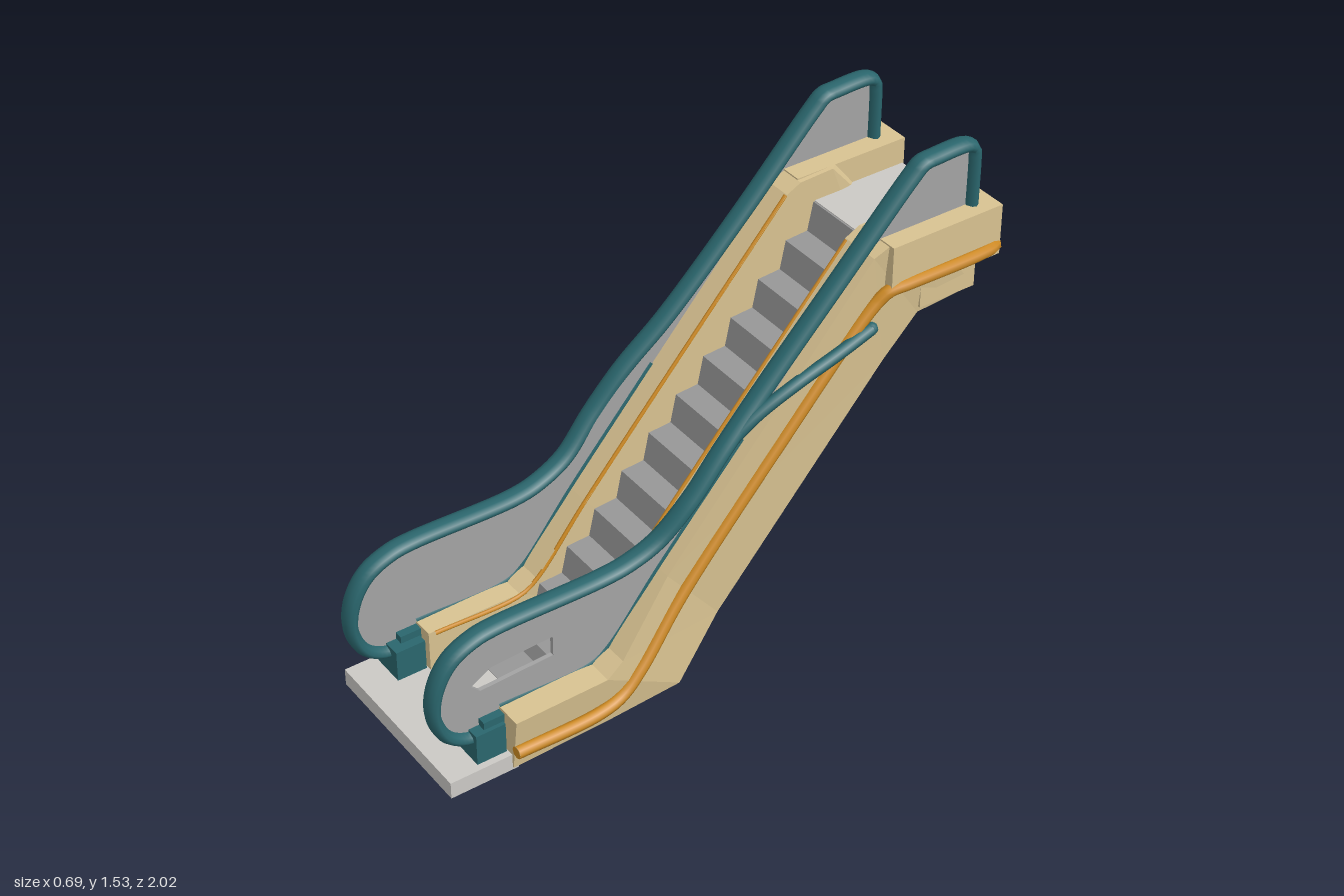
import * as THREE from 'three';

const mat = (name, color, extra = {}) => new THREE.MeshStandardMaterial({ name, color, ...extra });

export function createModel() {
  const root = new THREE.Group();
  root.name = 'escalator';
  const cream = mat('cream', 0xd8c291, { flatShading: true, side: THREE.DoubleSide });
  const orange = mat('orange', 0xce8a22);
  const teal = mat('teal', 0x2a666d);
  const stepGrey = mat('stepGrey', 0x979797, { flatShading: true });
  const panelGrey = mat('panelGrey', 0xa3a3a3);
  const paleGrey = mat('paleGrey', 0xcbc9c5);

  const add = (name, geo, material) => {
    const m = new THREE.Mesh(geo, material);
    m.name = name;
    root.add(m);
    return m;
  };
  // Box given by its min and max corners
  const box = (name, material, x0, x1, y0, y1, z0, z1) => {
    const m = add(name, new THREE.BoxGeometry(x1 - x0, y1 - y0, z1 - z0), material);
    m.position.set((x0 + x1) / 2, (y0 + y1) / 2, (z0 + z1) / 2);
    return m;
  };
  // Side outline of [z, y] points extruded across x, centred on x = 0
  const sideExtrude = (pts, width, holes = []) => {
    const toVec = (p) => new THREE.Vector2(p[0], p[1]);
    const shape = new THREE.Shape(pts.map(toVec));
    holes.forEach((h) => shape.holes.push(new THREE.Path(h.map(toVec))));
    const g = new THREE.ExtrudeGeometry(shape, { depth: width, bevelEnabled: false });
    return g.rotateY(-Math.PI / 2).translate(width / 2, 0, 0);
  };
  // Smooth tube through [x, y, z] points with closed ends
  const tube = (pts, r, segs, sides) => {
    const curve = new THREE.CatmullRomCurve3(pts.map((p) => new THREE.Vector3(...p)), false, 'centripetal');
    return new THREE.TubeGeometry(curve, segs, r, sides);
  };

  // Trough body: U-shaped sections [zTop, yTop, zBottom, yBottom, halfWidth, innerHalfWidth]
  const sections = [
    [0.76, 0.20, 0.76, 0.01, 0.33, 0.15],
    [0.44, 0.20, 0.42, 0.015, 0.325, 0.15],
    [0.38, 0.235, 0.16, 0.02, 0.315, 0.145],
    [0.20, 0.45, 0.00, 0.20, 0.285, 0.14],
    [-0.53, 1.27, -0.60, 0.87, 0.275, 0.14],
    [-0.58, 1.295, -0.72, 1.00, 0.28, 0.14],
    [-0.70, 1.30, -0.80, 1.01, 0.285, 0.14],
    [-0.72, 1.30, -0.925, 1.02, 0.285, 0.155],
  ];
  const pos = [], idx = [];
  sections.forEach(([zt, yt, zb, yb, w, i]) => {
    const b = w - 0.025;
    pos.push(w, yt, zt, b, yb, zb, -b, yb, zb, -w, yt, zt);
    pos.push(-i, yt, zt, -i, yb + 0.02, zb, i, yb + 0.02, zb, i, yt, zt);
  });
  const quad = (a, b, c, d) => idx.push(a, b, c, a, c, d);
  for (let s = 0; s < sections.length - 1; s++) {
    for (let k = 0; k < 8; k++) {
      const a = s * 8 + k, b = s * 8 + ((k + 1) % 8);
      quad(a, a + 8, b + 8, b);
    }
  }
  const last = (sections.length - 1) * 8;
  [[0, 1, 6, 7], [1, 2, 5, 6], [2, 3, 4, 5]].forEach(([a, b, c, d]) => {
    quad(d, c, b, a);
    quad(last + a, last + b, last + c, last + d);
  });
  const bodyGeo = new THREE.BufferGeometry();
  bodyGeo.setAttribute('position', new THREE.Float32BufferAttribute(pos, 3));
  bodyGeo.setIndex(idx);
  bodyGeo.computeVertexNormals();
  add('body', bodyGeo, cream);

  // Upper deck housing
  for (const s of [1, -1]) {
    const xs = [s * 0.155, s * 0.3].sort((a, b) => a - b);
    box('upperSideWall', cream, xs[0], xs[1], 1.13, 1.3, -0.985, -0.58);
  }
  box('upperBackWall', cream, -0.3, 0.3, 1.13, 1.19, -0.985, -0.7);
  box('upperSupport', cream, -0.265, 0.265, 1.02, 1.14, -0.925, -0.72);

  // Steps: twelve slightly leaning risers
  const stair = [[0.62, 0.03], [0.62, 0.062], [0.49, 0.062]];
  for (let k = 0; k < 12; k++) {
    const z = 0.49 - 0.1 * k, y = 0.11 + 0.1 * k;
    stair.push([z - 0.02, y]);
    if (k < 11) stair.push([z - 0.1, y + 0.005]);
  }
  stair.push([-0.72, 1.21], [-0.72, 1.04], [0.15, 0.05]);
  add('steps', sideExtrude(stair.reverse(), 0.295), stepGrey);

  // Landings
  box('upperLanding', paleGrey, -0.156, 0.156, 1.18, 1.213, -0.98, -0.635);
  box('lowerLanding', paleGrey, -0.152, 0.152, 0.012, 0.06, 0.615, 0.76);
  box('entryPlate', paleGrey, -0.3, 0.3, 0, 0.058, 0.74, 0.97);

  // Orange bumper running along both sides and round the back
  const half = [
    [0.325, 0.085, 0.76], [0.325, 0.085, 0.48], [0.318, 0.105, 0.39], [0.308, 0.17, 0.31],
    [0.282, 0.35, 0.15], [0.272, 0.75, -0.21], [0.276, 1.11, -0.54], [0.288, 1.148, -0.585],
    [0.297, 1.155, -0.64], [0.297, 1.16, -0.96], [0.28, 1.16, -0.98],
  ];
  const around = half.concat(half.map(([x, y, z]) => [-x, y, z]).reverse());
  add('bumperTrim', tube(around, 0.021, 220, 8), orange);
  for (const s of [1, -1]) {
    const cap = add('bumperEnd', new THREE.CircleGeometry(0.021, 8), orange);
    cap.position.set(s * 0.325, 0.085, 0.761);
  }

  // Handrail outline as [xOffset, y, z]
  const railPath = [
    [0, 0.135, 0.80], [0, 0.14, 0.88], [0, 0.18, 0.94], [0, 0.27, 0.975], [0, 0.37, 0.962],
    [0, 0.45, 0.91], [0, 0.49, 0.83], [0, 0.5, 0.76], [0, 0.5, 0.40], [0.003, 0.515, 0.31],
    [0.008, 0.56, 0.21], [0.016, 0.67, 0.10], [0.013, 0.79, -0.01], [0.004, 0.93, -0.16],
    [0, 1.2, -0.43], [0, 1.47, -0.69], [0, 1.5, -0.725], [0, 1.505, -0.77],
    [0, 1.505, -0.89], [0, 1.49, -0.912], [0, 1.46, -0.915], [0, 1.29, -0.915],
  ];
  // Panel outline: inside the rail, then back down the skirt top
  const panel = railPath.map(([, y, z]) => [z, y])
    .concat([[-0.58, 1.29], [-0.53, 1.26], [0.20, 0.44], [0.38, 0.225], [0.44, 0.19], [0.78, 0.19]]);
  const gap = [[0.57, 0.3], [0.82, 0.29], [0.85, 0.32], [0.78, 0.36], [0.57, 0.37]];

  for (const s of [1, -1]) {
    const rail = tube(railPath.map(([x, y, z]) => [s * x, y, z]), 0.021, 180, 10);
    add('handrail', rail.scale(1.65, 1, 1).translate(s * 0.23, 0, 0), teal);
    add('balustradePanel', sideExtrude(panel, 0.014, s > 0 ? [gap] : []), panelGrey)
      .position.x = s * 0.23;

    // Teal seal at the foot of the panel
    const seal = [[0.76, 0.2], [0.44, 0.2], [0.38, 0.235], [0.2, 0.45], [-0.1, 0.79]];
    add('panelSeal', tube(seal.map(([z, y]) => [s * 0.23, y, z]), 0.012, 50, 6), teal);

    // Orange edging along the inside of the skirt
    const edge = [[0.74, 0.2], [0.44, 0.2], [0.38, 0.235], [0.2, 0.45], [-0.53, 1.27]];
    add('skirtEdge', tube(edge.map(([z, y]) => [s * 0.146, y - 0.004, z]), 0.007, 60, 6), orange);

    // Newel block where the rail enters the floor
    const xs = [s * 0.165, s * 0.278].sort((a, b) => a - b);
    box('newelBlock', teal, xs[0], xs[1], 0.055, 0.165, 0.765, 0.865);
    box('newelCollar', teal, s * 0.23 - 0.035, s * 0.23 + 0.035, 0.12, 0.19, 0.75, 0.83);
  }

  // Side branch of the left handrail
  const branch = [[0.25, 0.78, 0.0], [0.268, 0.88, -0.12], [0.285, 0.95, -0.25], [0.29, 1.0, -0.4], [0.289, 1.04, -0.52]];
  add('railBranch', tube(branch, 0.02, 40, 8), teal);
  const tip = add('railBranchTip', new THREE.SphereGeometry(0.02, 8, 6), teal);
  tip.position.set(0.289, 1.04, -0.52);

  return root;
}
